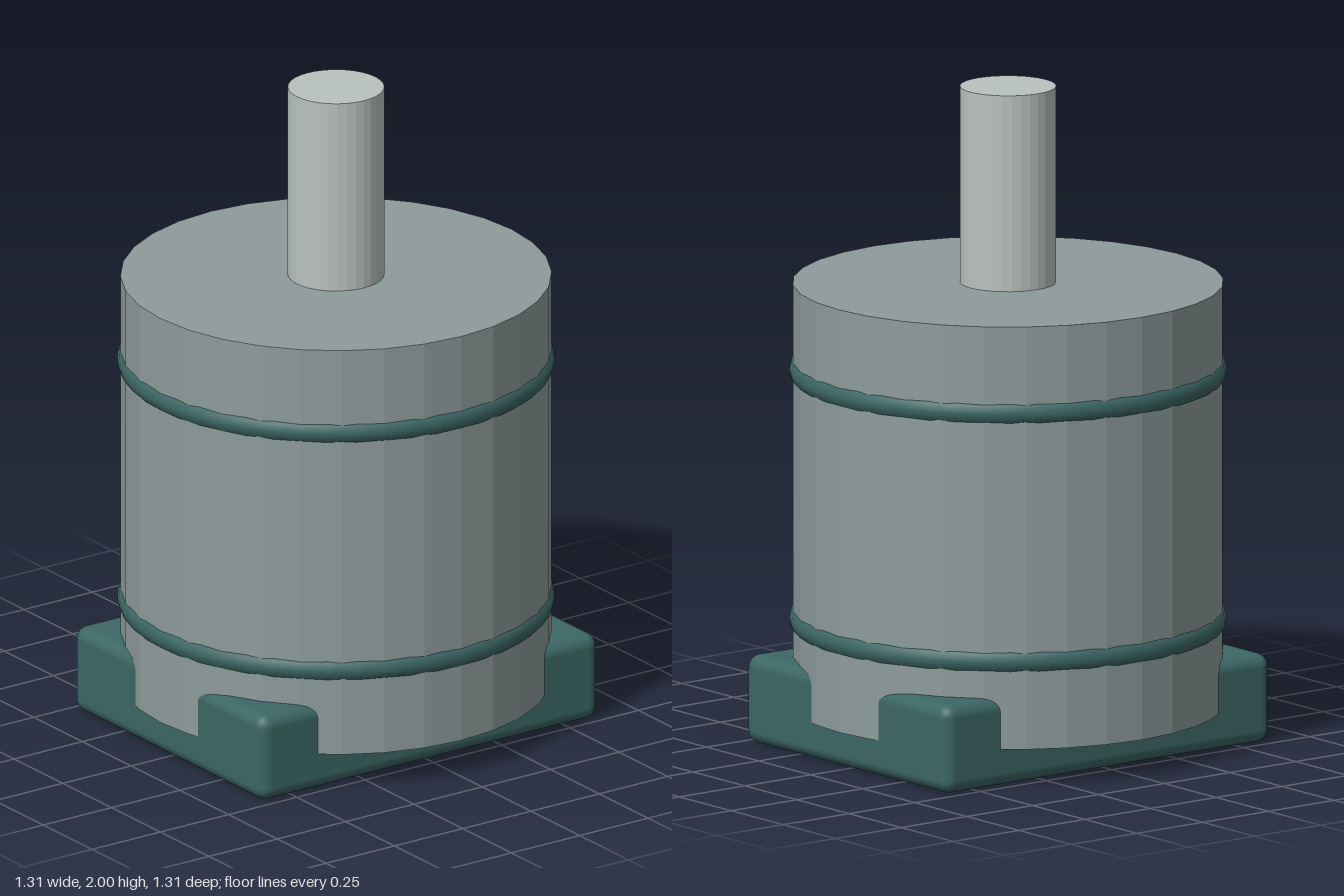
import * as THREE from 'three';
import { RoundedBoxGeometry } from 'three/addons/geometries/RoundedBoxGeometry.js';

export function createModel() {
  const model = new THREE.Group();
  model.name = 'motor';

  const material = (name, color, flatShading = false) =>
    new THREE.MeshStandardMaterial({ name, color, flatShading });
  const bodyGrey = material('body grey', 0x8e9b9b, true);
  const shaftGrey = material('shaft light grey', 0xb9c2be, true);
  const teal = material('dark teal', 0x3b6765);

  const add = (name, geometry, mat, y) => {
    const mesh = new THREE.Mesh(geometry, mat);
    mesh.name = name;
    mesh.position.y = y;
    model.add(mesh);
    return mesh;
  };

  // Upright faceted cylinder between two heights
  const column = (name, radius, bottom, top, mat) =>
    add(name, new THREE.CylinderGeometry(radius, radius, top - bottom, 32), mat, (bottom + top) / 2);

  // Rounded mounting block that the housing sinks into
  add('base', new RoundedBoxGeometry(1.24, 0.27, 0.975, 4, 0.04), teal, 0.135);

  // Housing and output shaft
  column('housing', 0.643, 0.115, 1.403, bodyGrey);
  column('shaft', 0.144, 1.403, 2, shaftGrey);

  // Two rings half buried in the housing
  for (const [name, y] of [['lowerRing', 0.381], ['upperRing', 1.138]]) {
    const ring = new THREE.TorusGeometry(0.608, 0.045, 12, 48);
    ring.rotateX(Math.PI / 2);
    add(name, ring, teal, y);
  }

  return model;
}
